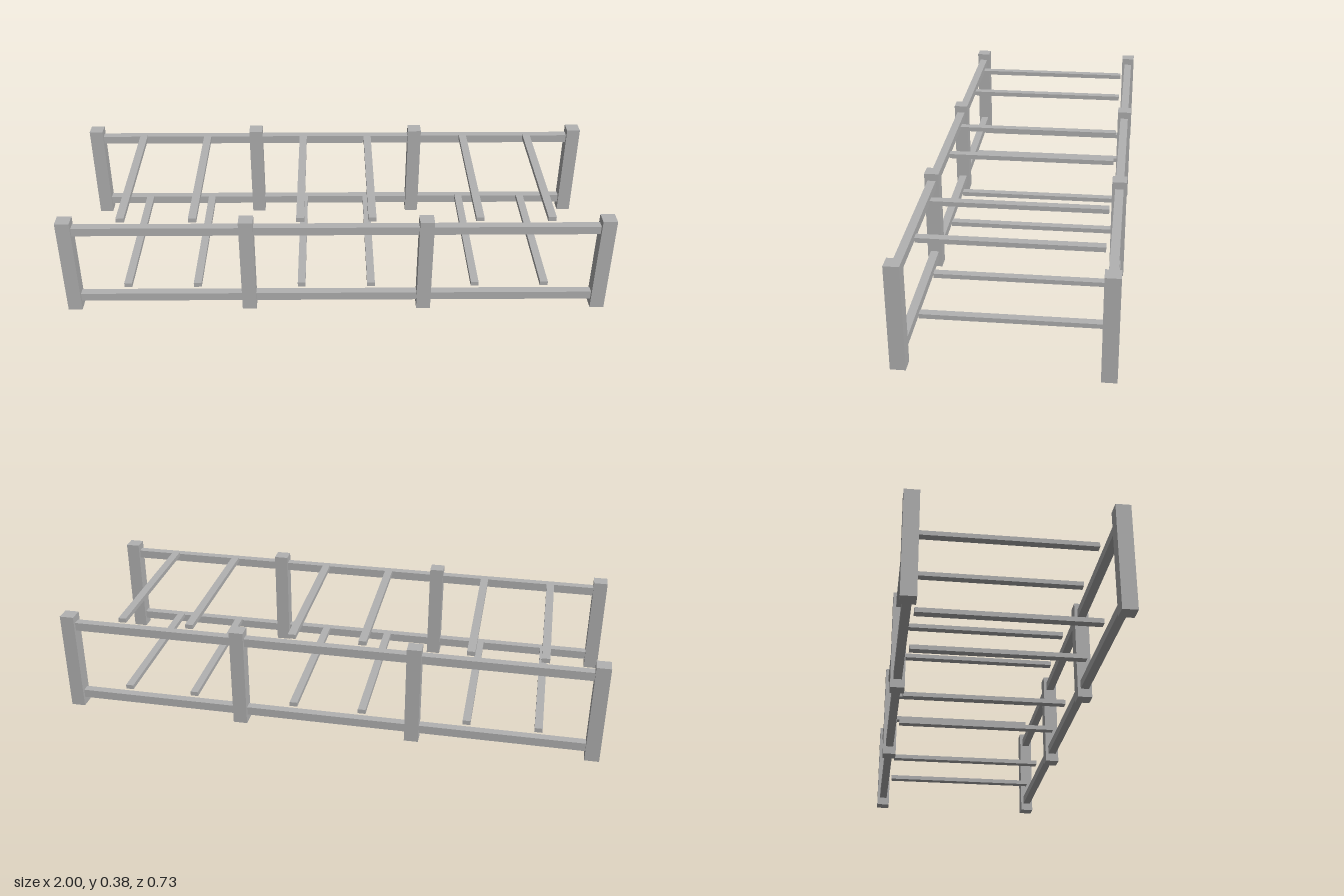
import * as THREE from 'three';

export function createModel() {
  const model = new THREE.Group();
  model.name = 'rackFrame';
  const grey = new THREE.MeshStandardMaterial({ color: 0xb2b2b2 });
  grey.name = 'grey';

  const addBox = (name, [w, h, d], [x, y, z]) => {
    const mesh = new THREE.Mesh(new THREE.BoxGeometry(w, h, d), grey);
    mesh.name = name;
    mesh.position.set(x, y, z);
    model.add(mesh);
  };

  const postX = [-0.974, -0.324, 0.324, 0.974];
  const postSize = 0.052, height = 0.382, sideZ = 0.337;
  const barX = [-0.779, -0.519, -0.13, 0.13, 0.519, 0.779];
  const levels = [{ rail: 0.048, bar: 0.07 }, { rail: 0.339, bar: 0.36 }];

  for (const z of [-sideZ, sideZ]) {
    // Square uprights
    for (const x of postX) addBox('post', [postSize, height, postSize], [x, height / 2, z]);
    // Long rails, one section per bay between the posts
    for (const { rail } of levels) {
      for (let i = 0; i < 3; i++) {
        const length = postX[i + 1] - postX[i] - postSize;
        addBox('rail', [length, 0.032, 0.03], [(postX[i] + postX[i + 1]) / 2, rail, z]);
      }
    }
  }

  // Thin cross bars, two per bay on each level
  for (const { bar } of levels)
    for (const x of barX) addBox('crossBar', [0.029, 0.017, 0.616], [x, bar, 0]);

  return model;
}
